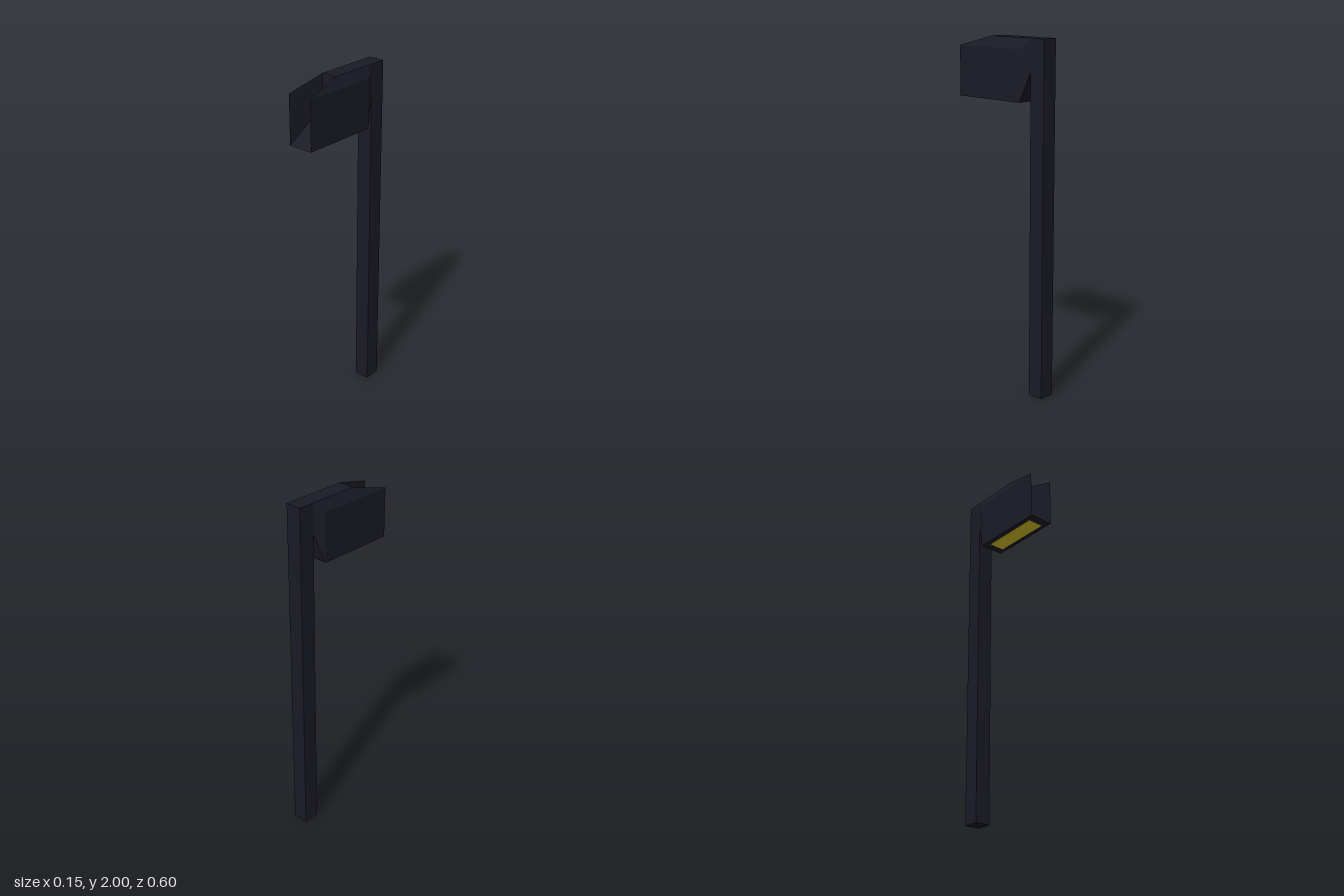
import * as THREE from 'three';

// Flat-shaded surface from four-cornered faces, corners counter-clockwise.
function quadSurface(quads) {
  const pos = quads.flatMap(([a, b, c, d]) => [a, b, c, a, c, d].flat());
  const geo = new THREE.BufferGeometry();
  geo.setAttribute('position', new THREE.Float32BufferAttribute(pos, 3));
  geo.computeVertexNormals();
  return geo;
}

// Four corners of a cross-section, counter-clockwise from the front.
const section = (w, lo, hi, z) => [[w, lo, z], [w, hi, z], [-w, hi, z], [-w, lo, z]];

// Quad joining edge k of one section to the same edge of the next.
const join = (a, b, k) => [a[k], a[(k + 1) % 4], b[(k + 1) % 4], b[k]];

export function createModel() {
  const model = new THREE.Group();
  model.name = 'streetLamp';

  const darkMetal = new THREE.MeshStandardMaterial({ color: 0x1b1b27 });
  darkMetal.name = 'darkMetal';
  const lampYellow = new THREE.MeshStandardMaterial({ color: 0xebd630 });
  lampYellow.name = 'lampYellow';

  const add = (name, geo, mat, x = 0, y = 0, z = 0) => {
    const mesh = new THREE.Mesh(geo, mat);
    mesh.name = name;
    mesh.position.set(x, y, z);
    model.add(mesh);
  };

  // Square pole
  add('pole', new THREE.BoxGeometry(0.092, 2, 0.093), darkMetal, 0, 1, -0.2535);

  // Flared head: neck, wide back, wide front, and the end of the front recess
  const neck = section(0.046, 1.825, 2, -0.207);
  const back = section(0.073, 1.66, 1.94, -0.15);
  const front = section(0.073, 1.66, 1.94, 0.3);
  const recess = section(0.046, 1.825, 2, 0.077);
  const rings = [neck, back, front, recess];
  const quads = [recess, [...neck].reverse()];
  for (let i = 0; i < 3; i++) {
    for (const k of [0, 2, 3]) quads.push(join(rings[i], rings[i + 1], k));
  }
  // Roof and its sloping shoulders
  quads.push(join(neck, recess, 1));
  quads.push([neck[1], recess[1], front[1], back[1]]);
  quads.push([back[2], front[2], recess[2], neck[2]]);
  add('lampHead', quadSurface(quads), darkMetal);

  // Light panel under the head
  add('lightPanel', new THREE.BoxGeometry(0.092, 0.004, 0.35), lampYellow, 0, 1.66, 0.075);

  return model;
}
